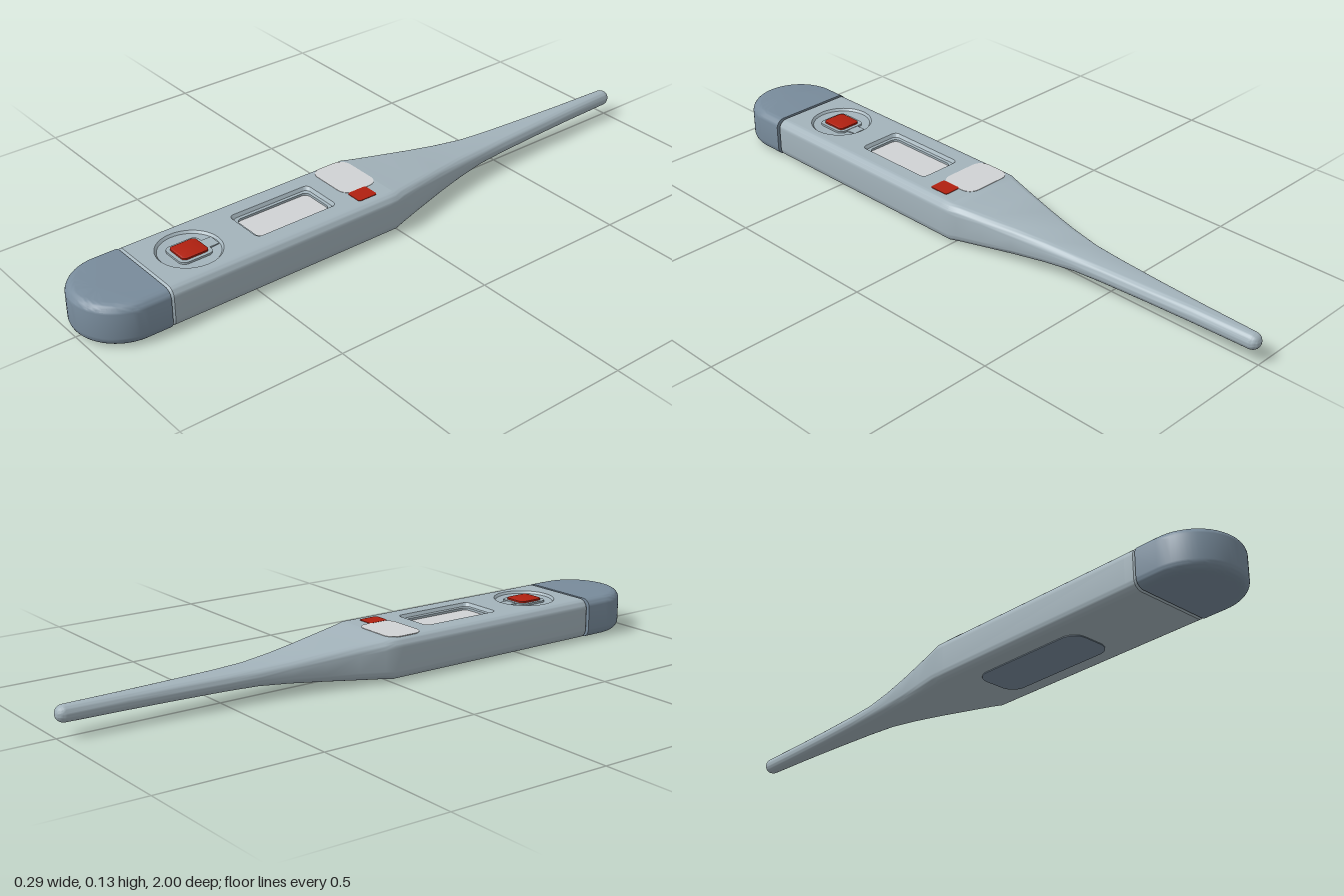
import * as THREE from 'three';
import { toCreasedNormals } from 'three/addons/utils/BufferGeometryUtils.js';

const mat = (name, color) => new THREE.MeshStandardMaterial({ name, color });
const TOP = 0.128, BOTTOM = 0.003, MID = (TOP + BOTTOM) / 2;
const SEG = 8; // segments per rounded corner

// Rounded rectangle as [u, v] points, counter-clockwise from the +u +v corner
function roundRect(hu, hv, r, cu = 0, cv = 0) {
  const pts = [];
  [[1, 1], [-1, 1], [-1, -1], [1, -1]].forEach(([su, sv], k) => {
    for (let i = 0; i <= SEG; i++) {
      const a = (k + i / SEG) * Math.PI / 2;
      pts.push([cu + su * (hu - r) + r * Math.cos(a), cv + sv * (hv - r) + r * Math.sin(a)]);
    }
  });
  return pts;
}

function circle(r, cu, cv, n = 48) {
  return Array.from({ length: n }, (_, i) => {
    const a = i / n * Math.PI * 2;
    return [cu + r * Math.cos(a), cv + r * Math.sin(a)];
  });
}

const atY = (pts, y) => pts.map(([x, z]) => [x, y, z]);
const atZ = (pts, z) => pts.map(([x, y]) => [x, y, z]);

// Skin a list of closed rings; skip(i, j) leaves a quad open
function loft(rings, { start = false, end = false, skip = () => false } = {}) {
  const n = rings[0].length, pos = [];
  const tri = (a, b, c) => pos.push(...a, ...b, ...c);
  for (let i = 0; i < rings.length - 1; i++) {
    for (let j = 0; j < n; j++) {
      if (skip(i, j)) continue;
      const k = (j + 1) % n, a = rings[i], b = rings[i + 1];
      tri(a[j], b[j], b[k]);
      tri(a[j], b[k], a[k]);
    }
  }
  const fan = (ring, flip) => {
    const c = [0, 1, 2].map(d => ring.reduce((s, p) => s + p[d], 0) / n);
    ring.forEach((p, j) => {
      const q = ring[(j + 1) % n];
      if (flip) tri(c, q, p); else tri(c, p, q);
    });
  };
  if (start) fan(rings[0], false);
  if (end) fan(rings[rings.length - 1], true);
  const g = new THREE.BufferGeometry();
  g.setAttribute('position', new THREE.Float32BufferAttribute(pos, 3));
  return toCreasedNormals(g, 0.4);
}

export function createModel() {
  const group = new THREE.Group();
  const shell = mat('grey shell', 0xa3b3bb);
  const capGrey = mat('slate cap', 0x788b9b);
  const white = mat('pale grey', 0xd0d2d4);
  const red = mat('red', 0xb02010);
  const add = (name, geo, m) => {
    const mesh = new THREE.Mesh(geo, m);
    mesh.name = name;
    group.add(mesh);
  };
  // Thin solid with rounded outline
  const plate = (name, outline, y0, y1, m) =>
    add(name, loft([atY(outline, y0), atY(outline, y1)], { start: true, end: true }), m);

  // Body and tapering probe: z, half width, half height, corner radius
  const H = TOP - MID;
  const sections = [
    [0.782, 0.134, H - 0.006, 0.026],
    [0.775, 0.14, H, 0.028],
    [0.745, 0.14, H, 0.028],
    [0.04, 0.14, H, 0.028],
    [0.01, 0.14, H, 0.028],
    [-0.02, 0.133, H - 0.004, 0.028],
    [-0.1, 0.113, 0.052, 0.027],
    [-0.2, 0.091, 0.043, 0.027],
    [-0.3, 0.072, 0.034, 0.026],
    [-0.4, 0.057, 0.027, 0.025],
    [-0.5, 0.049, 0.025, 0.0245],
    [-0.65, 0.039, 0.0245, 0.024],
    [-0.8, 0.031, 0.0245, 0.024],
    [-0.975, 0.0245, 0.0245, 0.024],
  ];
  for (let i = 1; i <= 6; i++) { // round tip
    const a = i / 6 * Math.PI / 2 * 0.98, r = 0.0245 * Math.cos(a);
    sections.push([-0.975 - 0.025 * Math.sin(a), r, r, r * 0.98]);
  }
  const bodyRings = sections.map(([z, w, h, r]) => atZ(roundRect(w, h, r, 0, MID), z));
  add('body', loft(bodyRings, {
    start: true, end: true,
    skip: (i, j) => i >= 1 && i <= 3 && j === SEG,
  }), shell);

  // Flat top face with openings for the display and the button
  const windowRing = roundRect(0.07, 0.138, 0.016, 0, 0.318);
  const BZ = 0.635;
  const dishRing = circle(0.095, 0, BZ);
  const flat = pts => pts.map(([x, z]) => new THREE.Vector2(x, -z));
  const face = new THREE.Shape(flat([[-0.112, 0.775], [0.112, 0.775], [0.112, 0.01], [-0.112, 0.01]]));
  face.holes.push(new THREE.Path(flat(windowRing)), new THREE.Path(flat(dishRing)));
  add('topFace', new THREE.ShapeGeometry(face).rotateX(-Math.PI / 2).translate(0, TOP, 0), shell);

  // Display recess and screen
  const screenRing = roundRect(0.056, 0.124, 0.018, 0, 0.318);
  add('displayFrame', loft([
    atY(windowRing, TOP), atY(roundRect(0.064, 0.132, 0.016, 0, 0.318), TOP - 0.01),
    atY(screenRing, TOP - 0.012), atY(screenRing, TOP - 0.022),
  ], { end: true }), shell);
  plate('screen', screenRing, TOP - 0.022, TOP - 0.019, white);

  // Button dish, pad, bridge and red button
  add('buttonDish', loft([
    atY(dishRing, TOP), atY(circle(0.089, 0, BZ), TOP - 0.007),
    atY(circle(0.06, 0, BZ), TOP - 0.01),
  ], { end: true }), shell);
  plate('buttonPad', roundRect(0.049, 0.053, 0.02, 0, BZ), TOP - 0.011, TOP - 0.004, shell);
  plate('buttonBridge', roundRect(0.021, 0.02, 0.003, 0, BZ - 0.065), TOP - 0.011, TOP - 0.005, shell);
  add('button', loft([
    atY(roundRect(0.038, 0.042, 0.012, 0, BZ), TOP - 0.005),
    atY(roundRect(0.038, 0.042, 0.012, 0, BZ), TOP + 0.001),
    atY(roundRect(0.034, 0.038, 0.012, 0, BZ), TOP + 0.003),
  ], { end: true }), red);

  // Painted labels on top and underneath
  plate('topLabel', roundRect(0.084, 0.061, 0.035, -0.037, 0.069), TOP - 0.001, TOP + 0.0012, white);
  plate('redMark', roundRect(0.028, 0.033, 0.008, 0.071, 0.088), TOP - 0.001, TOP + 0.0018, red);
  plate('bottomLabel', roundRect(0.075, 0.195, 0.045, 0, 0.305), 0, BOTTOM + 0.001, capGrey);

  // End cap: rounded in plan, with soft top and bottom edges and a flat seam
  const capOutline = d => {
    const r = 0.143 - d, pts = [[r, 0.785]];
    for (let i = 0; i <= 32; i++) {
      const a = i / 32 * Math.PI;
      pts.push([r * Math.cos(a), 0.857 + r * Math.sin(a)]);
    }
    pts.push([-r, 0.785]);
    return pts;
  };
  const R = 0.028, layers = [];
  for (let s = -1; s <= 1; s += 2) {
    for (let i = 0; i <= SEG; i++) {
      const a = (s < 0 ? SEG - i : i) / SEG * Math.PI / 2;
      layers.push(atY(capOutline(R * (1 - Math.cos(a))), MID + s * (H - R + R * Math.sin(a))));
    }
  }
  add('endCap', loft(layers, { start: true, end: true }), capGrey);

  return group;
}
